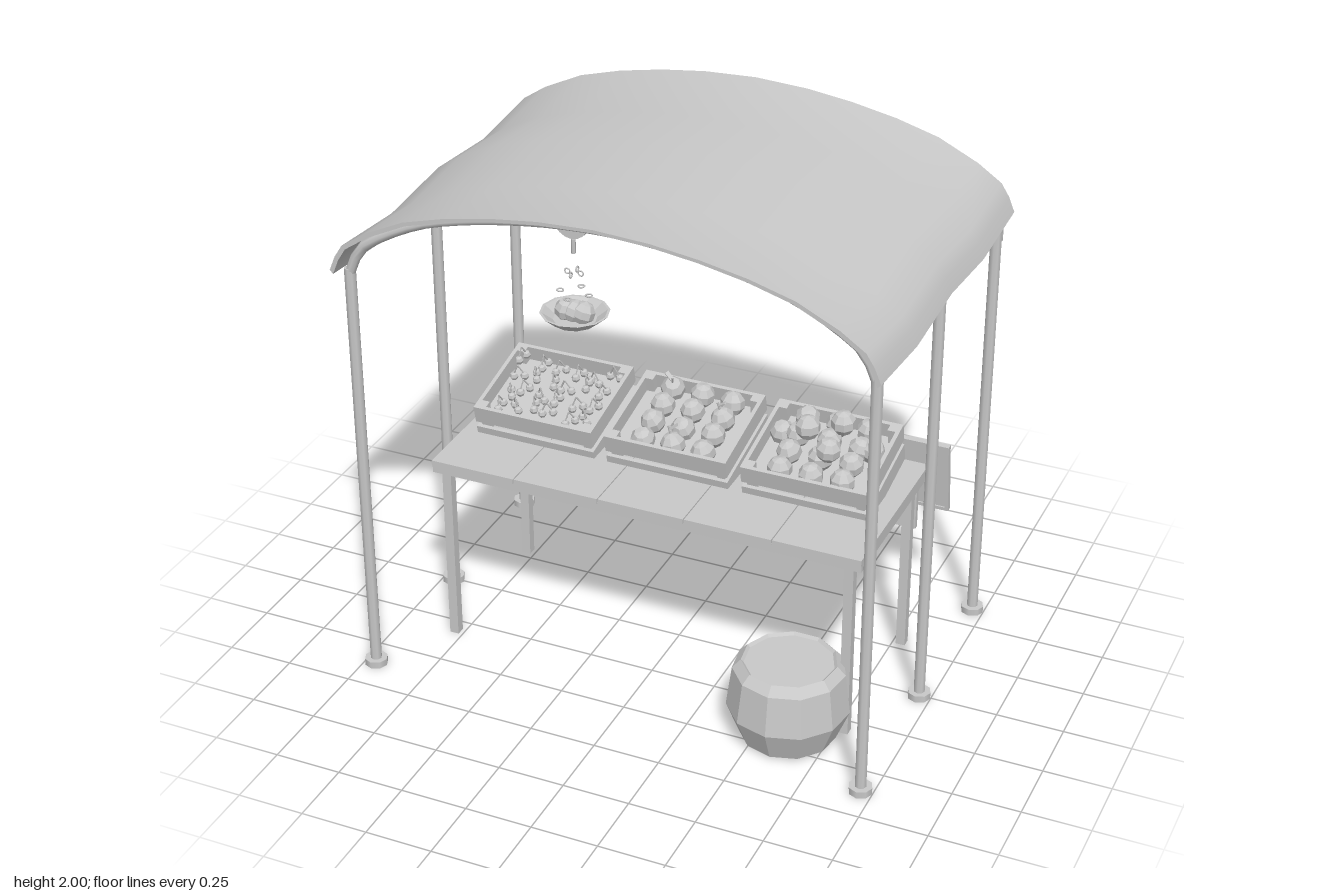
import * as THREE from 'three';
import { toCreasedNormals } from 'three/addons/utils/BufferGeometryUtils.js';

const grey = new THREE.MeshStandardMaterial({ color: 0xc8c8c8 });
grey.name = 'plainGrey';

function add(parent, name, geo, x = 0, y = 0, z = 0) {
  const m = new THREE.Mesh(geo, grey);
  m.name = name;
  m.position.set(x, y, z);
  parent.add(m);
  return m;
}
function group(parent, name, x = 0, y = 0, z = 0) {
  const g = new THREE.Group();
  g.name = name;
  g.position.set(x, y, z);
  parent.add(g);
  return g;
}
const box = (w, h, d) => new THREE.BoxGeometry(w, h, d);
const cyl = (r, h, n = 8, r2 = r) => new THREE.CylinderGeometry(r, r2, h, n);
const flat = (geo) => toCreasedNormals(geo, 0.05);

let seed = 7;
const rand = () => (seed = (seed * 16807) % 2147483647) / 2147483647;

// Half of the roof arch, crown to eave
const ARCH = [[0, 2], [0.2, 1.99], [0.37, 1.968], [0.54, 1.935], [0.7, 1.89], [0.85, 1.818], [0.94, 1.757], [0.97, 1.71], [0.993, 1.655]];
const mirrored = (pts) => [...pts.slice(1).reverse().map(([x, y]) => [-x, y]), ...pts];

function buildCanopy(root) {
  // Cloth shell, sagging between the three hoops
  const outer = mirrored(ARCH);
  const inner = outer.map(([x, y]) => [x * 0.987, y - 0.012]).reverse();
  const shape = new THREE.Shape([...outer, ...inner].map(([x, y]) => new THREE.Vector2(x, y)));
  const geo = new THREE.ExtrudeGeometry(shape, { depth: 1.37, steps: 4, bevelEnabled: false });
  geo.translate(0, 0, -0.685);
  const p = geo.attributes.position;
  for (let i = 0; i < p.count; i++) {
    const t = Math.abs(p.getZ(i)) / 0.3425;
    p.setY(i, p.getY(i) - 0.03 * (1 - Math.abs(t - 1)));
  }
  add(root, 'canopy', toCreasedNormals(geo, 0.7));

  // Hoops, posts and feet
  const hoop = mirrored(ARCH.map(([x, y]) => [x * 0.962, y - 0.032]));
  const curve = new THREE.CatmullRomCurve3(hoop.map(([x, y]) => new THREE.Vector3(x, y, 0)));
  const hoopGeo = new THREE.TubeGeometry(curve, 32, 0.019, 8);
  for (const z of [0.615, 0.005, -0.605]) {
    add(root, 'canopyHoop', hoopGeo, 0, 0, z);
    for (const s of [-1, 1]) {
      add(root, 'post', cyl(0.021, 1.64), s * 0.956, 0.82, z);
      add(root, 'postFoot', cyl(0.043, 0.026), s * 0.956, 0.013, z);
    }
  }

  // Zigzag valance along the back
  const v = new THREE.Shape();
  v.moveTo(-0.955, 1.69);
  v.lineTo(-0.955, 1.532);
  for (let i = -6; i <= 6; i++) v.lineTo(i * 0.15, i % 2 ? 1.556 : 1.514);
  v.lineTo(0.955, 1.532);
  v.lineTo(0.955, 1.69);
  add(root, 'valance', new THREE.ExtrudeGeometry(v, { depth: 0.01, bevelEnabled: false }), 0, 0, -0.695);

  // Small patch under the roof
  add(root, 'roofPatch', box(0.145, 0.01, 0.15), -0.52, 1.876, 0.28).rotation.z = 0.43;
}

function buildTable(root) {
  const t = group(root, 'table', 0.007);
  for (let i = 0; i < 5; i++) add(t, 'tablePlank', box(0.329, 0.02, 0.7), (i - 2) * 0.333, 0.755, 0.01);
  add(t, 'tableSlab', box(1.66, 0.033, 0.69), 0, 0.731, 0.01);
  for (const x of [-0.79, 0.775])
    for (const z of [0.31, -0.295]) add(t, 'tableLeg', box(0.035, 0.715, 0.035), x, 0.3575, z);
  add(t, 'backApron', box(1.6, 0.2, 0.02), -0.007, 0.585, -0.343);
}

// Slatted crate, tilted towards the customer
function buildCrate(root, x) {
  const c = group(root, 'crate', x, 0.768, -0.087);
  c.rotation.x = 0.22;
  const W = 0.475, D = 0.385;
  add(c, 'crateFloor', box(W - 0.03, 0.012, D - 0.03), 0, 0.01, 0);
  add(c, 'crateBed', box(W - 0.03, 0.01, D - 0.03), 0, 0.098, 0);
  for (const y of [0.035, 0.128])
    for (const s of [-1, 1]) {
      add(c, 'crateLongSlat', box(W, 0.07, 0.015), 0, y, s * (D / 2 - 0.0075));
      add(c, 'crateEndSlat', box(0.015, 0.07, D - 0.03), s * (W / 2 - 0.0075), y, 0);
    }
  for (const sx of [-1, 1])
    for (const sz of [-1, 1]) add(c, 'cratePost', box(0.03, 0.163, 0.03), sx * (W / 2 - 0.03), 0.0815, sz * (D / 2 - 0.03));
  return c;
}

const fruitGeo = flat(new THREE.SphereGeometry(0.047, 8, 5));
const cherryGeo = flat(new THREE.SphereGeometry(0.017, 6, 4));
const stemGeo = cyl(0.004, 0.04, 5);

function fruit(parent, x, y, z, stem) {
  const f = add(parent, 'fruit', fruitGeo, x, y, z);
  f.rotation.set((rand() - 0.5) * 0.5, rand() * 3, (rand() - 0.5) * 0.5);
  if (stem) {
    add(f, 'fruitStem', stemGeo, 0, 0.058, 0);
    add(f, 'fruitLeaf', box(0.035, 0.005, 0.016), 0.017, 0.07, 0).rotation.z = 0.4;
  }
}

function buildProduce(root) {
  // Cherries, in pairs on thin stems
  const cherries = buildCrate(root, -0.527);
  for (let i = 0; i < 24; i++) {
    const pair = group(cherries, 'cherryPair',
      ((i % 6) - 2.5) * 0.07 + (rand() - 0.5) * 0.03, 0.118 + rand() * 0.04, (Math.floor(i / 6) - 1.5) * 0.08 + (rand() - 0.5) * 0.03);
    pair.rotation.y = rand() * 6;
    for (const s of [-1, 1]) {
      add(pair, 'cherry', cherryGeo, s * 0.02, 0, 0);
      add(pair, 'cherryStem', cyl(0.003, 0.045, 4), s * 0.01, 0.03, 0).rotation.z = s * 0.45;
    }
  }
  // Round fruit in rows, the last crate heaped
  for (const [x, heaped] of [[0, false], [0.53, true]]) {
    const c = buildCrate(root, x);
    for (let i = 0; i < 12; i++) {
      const col = (i % 3) - 1, row = Math.floor(i / 3) - 1.5;
      fruit(c, col * 0.118 + (row % 1 ? 0.01 : 0), 0.14 + rand() * 0.012, row * 0.092, !heaped && i % 5 === 0);
    }
    if (heaped) {
      for (const [fx, fz] of [[-0.062, -0.03], [0.05, -0.09], [0.05, 0.06]]) fruit(c, fx, 0.21, fz);
      for (const s of [-1, 1]) fruit(c, s * 0.172, 0.14, -0.05);
    }
  }
}

function buildScale(root) {
  const s = group(root, 'hangingScale', -0.63, 0, -0.447);
  add(s, 'hookBlock', box(0.022, 0.035, 0.022), 0, 1.625, 0);
  add(s, 'hookRing', new THREE.TorusGeometry(0.025, 0.006, 6, 14), 0, 1.585, 0);
  add(s, 'hangerRod', cyl(0.006, 0.08, 6), 0, 1.522, 0);
  add(s, 'dial', cyl(0.07, 0.036, 16), 0, 1.412, 0).rotation.x = Math.PI / 2;
  add(s, 'lowerRod', cyl(0.009, 0.06, 6), 0, 1.305, 0);
  for (let i = 0; i < 4; i++) {
    const arm = group(s, 'panChain');
    arm.rotation.y = i * Math.PI / 2;
    add(arm, 'chainLink', new THREE.TorusGeometry(0.011, 0.003, 5, 10), 0.028, 1.195, 0);
    add(arm, 'chainLinkFlat', new THREE.TorusGeometry(0.013, 0.003, 5, 10), 0.06, 1.108, 0).rotation.x = Math.PI / 2;
  }
  // Shallow pan with a closed double wall
  const pan = [[0, 0.99], [0.09, 0.99], [0.136, 1.03], [0.126, 1.03], [0.085, 1.0], [0, 1.0]];
  add(s, 'pan', flat(new THREE.LatheGeometry(pan.map(([r, y]) => new THREE.Vector2(r, y)), 12)));
  for (let i = -1; i <= 1; i++) fruit(s, i * 0.036, 1.03, 0);
}

export function createModel() {
  const root = new THREE.Group();
  root.name = 'marketStall';
  buildCanopy(root);
  buildTable(root);
  buildProduce(root);
  buildScale(root);

  // Bulging barrel with a slightly sunken lid
  const barrel = [[0, 0.012], [0.175, 0.012], [0.223, 0.13], [0.203, 0.285], [0.172, 0.318], [0.162, 0.308], [0, 0.308]];
  add(root, 'barrel', flat(new THREE.LatheGeometry(barrel.map(([r, y]) => new THREE.Vector2(r, y)), 11)), 0.6, 0, 0.4);

  // Leaning framed board behind the table
  const sign = group(root, 'signBoard', 0.65, 0.608, -0.527);
  sign.rotation.x = 0.12;
  add(sign, 'boardPanel', box(0.41, 0.285, 0.012));
  for (const k of [-1, 1]) {
    add(sign, 'boardRail', box(0.42, 0.014, 0.022), 0, k * 0.14, 0);
    add(sign, 'boardStile', box(0.014, 0.266, 0.022), k * 0.203, 0, 0);
  }
  return root;
}
